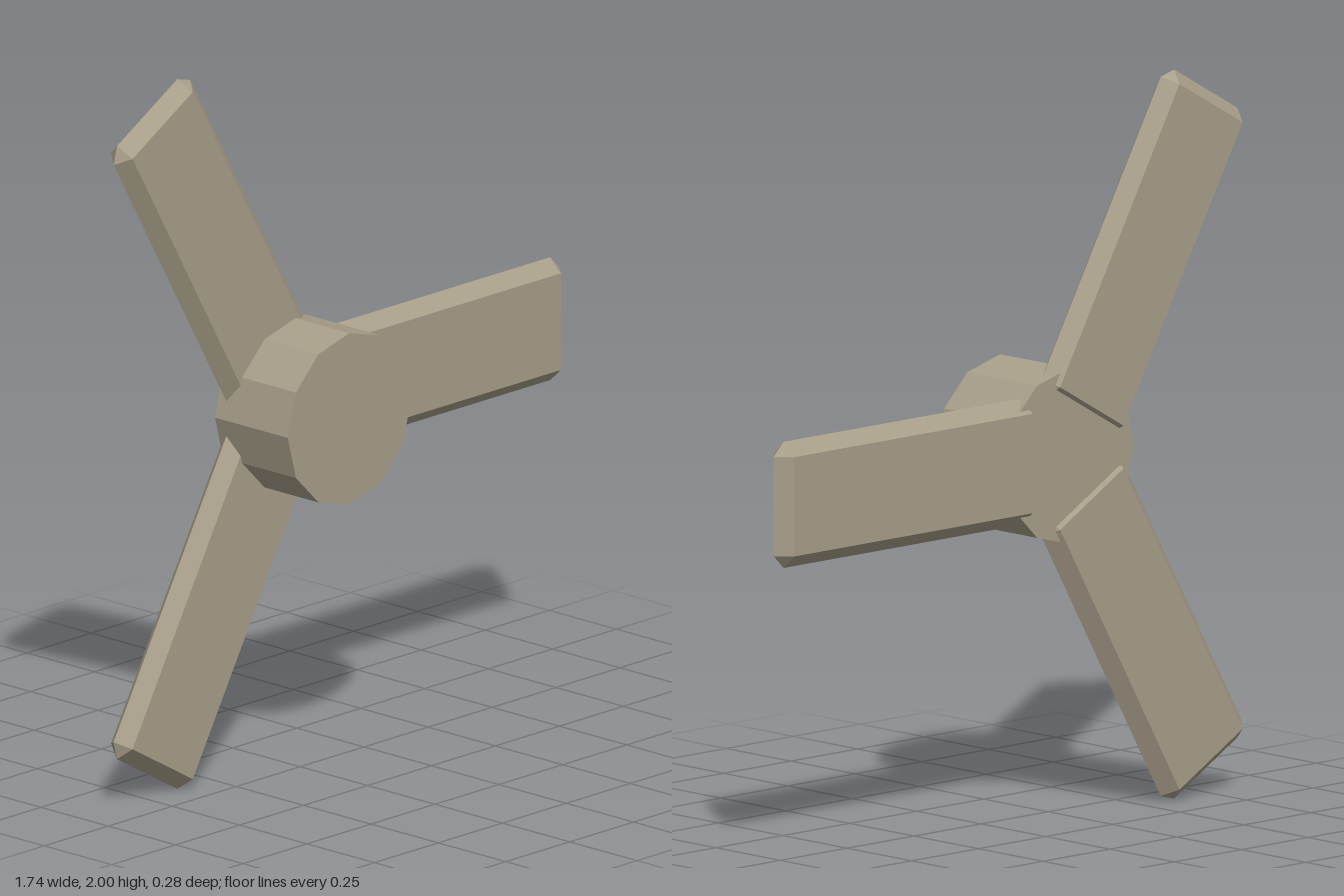
import * as THREE from 'three';
import { ConvexGeometry } from 'three/addons/geometries/ConvexGeometry.js';

const CENTRE = [-0.205, 1.0];

// Flat bar along +x whose bevels meet in a ridge at mid thickness.
function bladeGeometry(inner, outer, halfWidth, halfDepth, bevel) {
  const points = [];
  for (const [end, inward] of [[inner, 1], [outer, -1]]) {
    for (const side of [-1, 1]) {
      const x = end + inward * bevel;
      const y = side * (halfWidth - bevel);
      points.push(
        new THREE.Vector3(x, y, halfDepth),
        new THREE.Vector3(x, y, -halfDepth),
        new THREE.Vector3(end, y, 0),
        new THREE.Vector3(x, side * halfWidth, 0)
      );
    }
  }
  return new ConvexGeometry(points);
}

export function createModel() {
  const model = new THREE.Group();
  model.name = 'propeller';

  const metal = new THREE.MeshStandardMaterial({ color: 0xa89f8a });
  metal.name = 'warm grey';
  metal.flatShading = true;

  // Twelve-sided hub with its axis along z
  const hubGeometry = new THREE.CylinderGeometry(0.241, 0.241, 0.27, 12);
  hubGeometry.rotateX(Math.PI / 2);
  const hub = new THREE.Mesh(hubGeometry, metal);
  hub.name = 'hub';
  hub.position.set(CENTRE[0], CENTRE[1], 0.005);
  model.add(hub);

  // Three blades set into the back of the hub
  const geometry = bladeGeometry(0.11, 1.075, 0.173, 0.04, 0.037);
  for (let i = 0; i < 3; i++) {
    const blade = new THREE.Mesh(geometry, metal);
    blade.name = `blade${i + 1}`;
    blade.position.set(CENTRE[0], CENTRE[1], -0.1);
    blade.rotation.z = (i * Math.PI * 2) / 3;
    model.add(blade);
  }

  return model;
}
